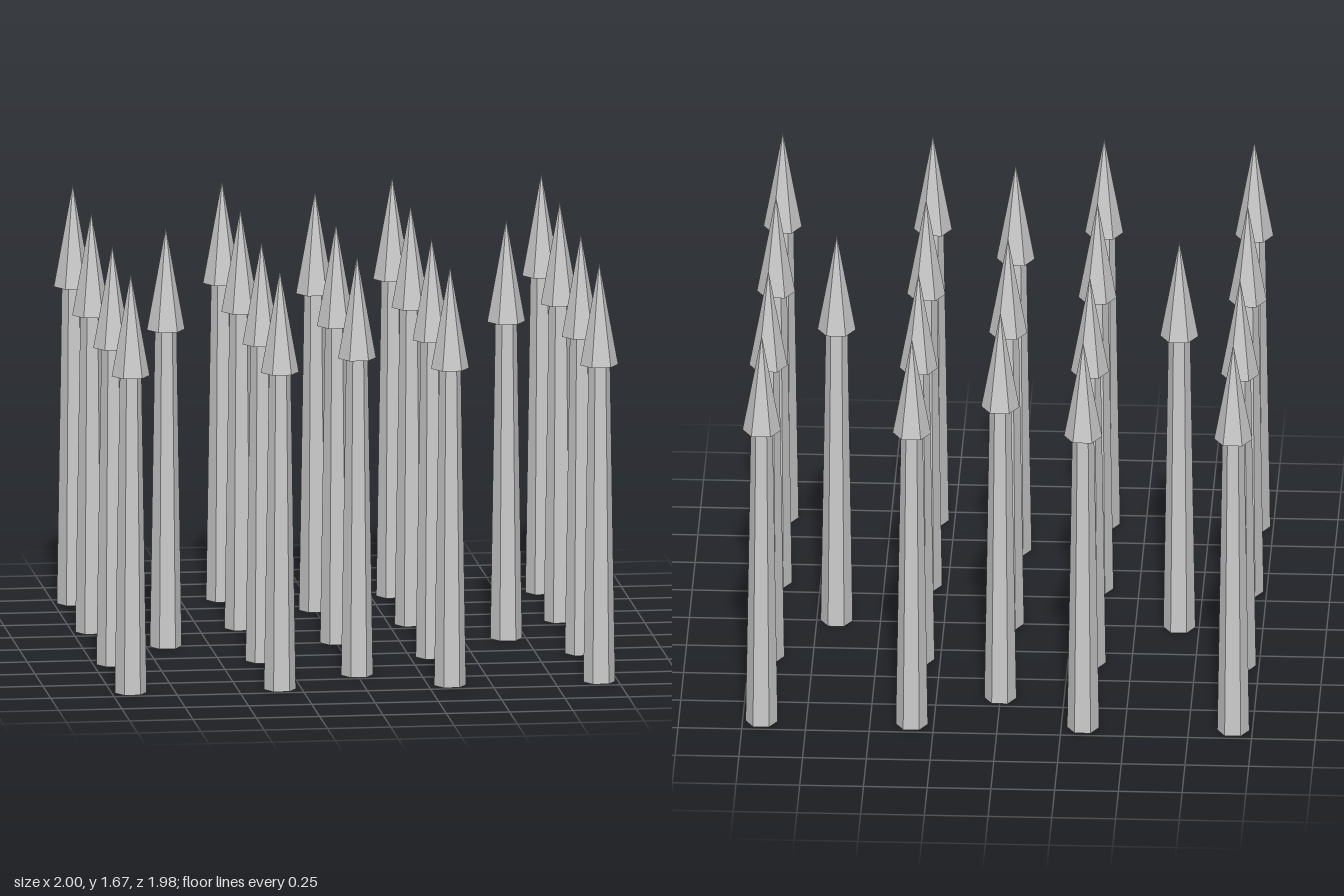
import * as THREE from 'three';

const SIDES = 6;
const HEAD_BASE = 1.265;
const TIP = 1.675;

export function createModel() {
  const model = new THREE.Group();
  model.name = 'spikeField';
  const material = new THREE.MeshStandardMaterial({ color: 0xcccccc, flatShading: true });

  // Tapered hexagonal shaft, corners turned towards +x and -x
  const shaftGeometry = new THREE.CylinderGeometry(0.043, 0.063, HEAD_BASE, SIDES)
    .rotateY(Math.PI / 6)
    .translate(0, HEAD_BASE / 2, 0);

  // Wider pointed head with a closed underside
  const headGeometry = new THREE.ConeGeometry(0.075, TIP - HEAD_BASE, SIDES)
    .rotateY(Math.PI / 6)
    .translate(0, (HEAD_BASE + TIP) / 2, 0);

  function addSpike(x, z) {
    const spike = new THREE.Group();
    spike.name = 'spike';
    const shaft = new THREE.Mesh(shaftGeometry, material);
    shaft.name = 'shaft';
    const head = new THREE.Mesh(headGeometry, material);
    head.name = 'spearHead';
    spike.add(shaft, head);
    spike.position.set(x, 0, z);
    model.add(spike);
  }

  // Four by four grid of spikes
  const grid = [-0.925, -0.336, 0.336, 0.925];
  for (const x of grid) for (const z of grid) addSpike(x, z);

  // Centre spike and the cross around it
  const arm = 0.672;
  for (const [x, z] of [[0, 0], [arm, 0], [-arm, 0], [0, arm], [0, -arm]]) addSpike(x, z);

  return model;
}
